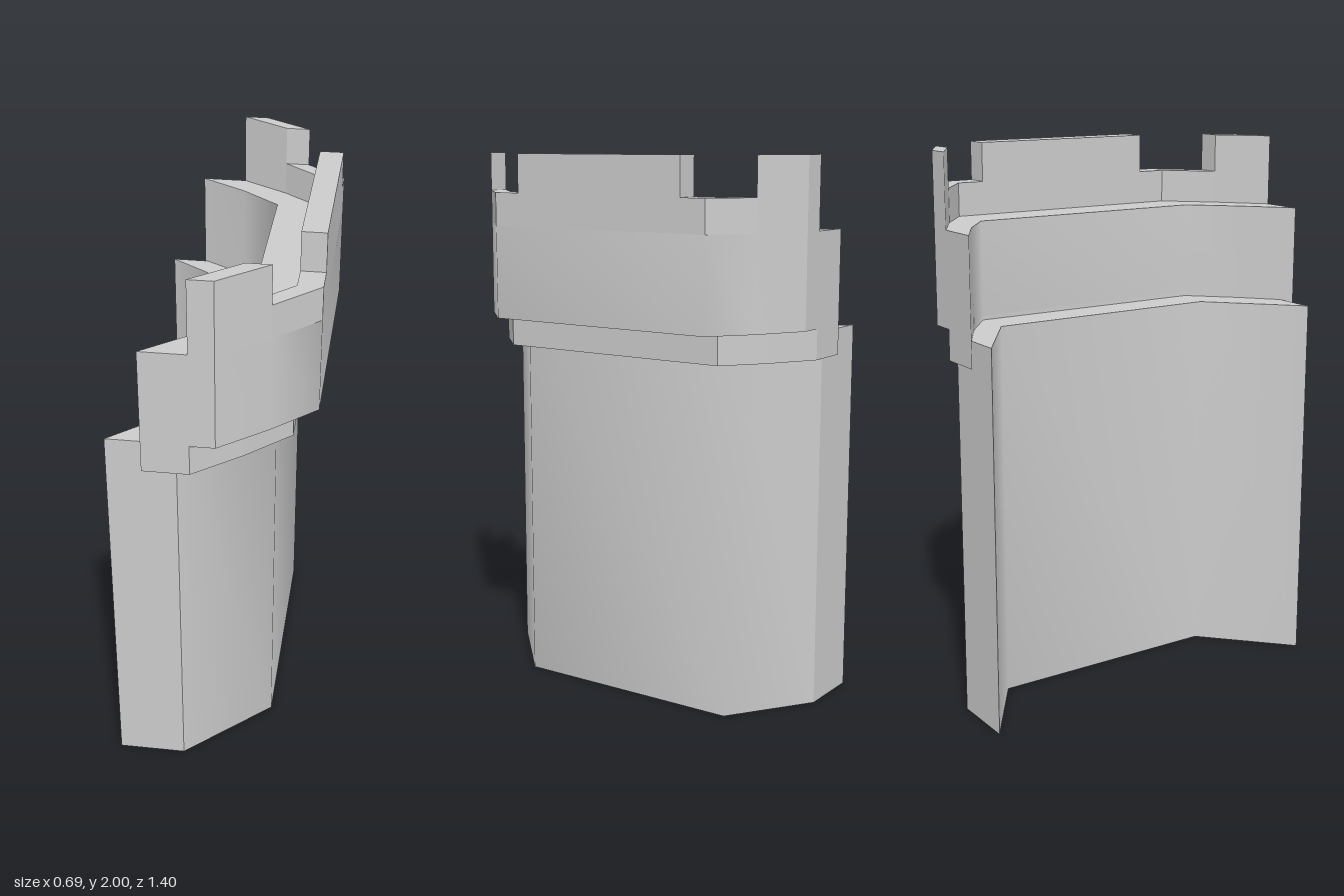
import * as THREE from 'three';
import { mergeGeometries } from 'three/addons/utils/BufferGeometryUtils.js';

const material = new THREE.MeshStandardMaterial({ color: 0xcccccc });

// Plan outlines as [x, z], running from the front end to the back end
const wallInner = [[-0.345, 0.668], [-0.045, 0.385], [-0.045, -0.49], [-0.345, -0.697]];
const wallOuter = [[-0.105, 0.668], [0.195, 0.385], [0.195, -0.49], [-0.105, -0.697]];
const parapetOuter = [[0.03, 0.7], [0.193, 0.562], [0.342, 0.415], [0.342, -0.486], [0.2, -0.6], [0.03, -0.702]];
const shifted = (line, dx) => line.map(([x, z]) => [x + dx, z]);
const parapetInner = shifted(parapetOuter, -0.086);
const walkwayInner = shifted(parapetOuter, -0.248);

// Strip of quads between two lines of points, smooth or faceted along its length
function sheet(a, b, smooth = false) {
  const index = [];
  for (let i = 0; i < a.length - 1; i++) {
    const j = i + 1, n = a.length;
    index.push(i, j, n + i, j, n + j, n + i);
  }
  const indexed = new THREE.BufferGeometry().setFromPoints([...a, ...b]);
  indexed.setIndex(index);
  if (smooth) indexed.computeVertexNormals();
  const geometry = indexed.toNonIndexed();
  if (!smooth) geometry.computeVertexNormals();
  return geometry;
}

// Solid between two plan outlines, from height y0 to height y1
function course(name, inner, outer, y0, y1, { smoothInner = false, smoothOuter = false } = {}) {
  const at = (line, y) => line.map(([x, z]) => new THREE.Vector3(x, y, z));
  const ob = at(outer, y0), ot = at(outer, y1), ib = at(inner, y0), it = at(inner, y1);
  const e = inner.length - 1;
  const geometry = mergeGeometries([
    sheet(ob, ot, smoothOuter),
    sheet(ot, it),
    sheet(it, ib, smoothInner),
    sheet(ib, ob),
    sheet([ib[0], ob[0]], [it[0], ot[0]]),
    sheet([ob[e], ib[e]], [ot[e], it[e]]),
  ]);
  const mesh = new THREE.Mesh(geometry, material);
  mesh.name = name;
  return mesh;
}

export function createModel() {
  const group = new THREE.Group();
  group.name = 'curvedBattlement';
  const smooth = { smoothInner: true, smoothOuter: true };

  // Main wall, corbel band, overhanging walkway and low parapet
  group.add(
    course('wall', wallInner, wallOuter, 0, 1.385, smooth),
    course('corbelBand', walkwayInner, parapetInner, 1.29, 1.4, { smoothInner: true }),
    course('walkway', walkwayInner, parapetOuter, 1.4, 1.74, smooth),
    course('parapet', parapetInner, parapetOuter, 1.74, 1.86),
  );

  // Merlons: one at each end and a long one in the middle
  const merlons = {
    frontMerlon: parapetOuter.slice(0, 2),
    middleMerlon: [[0.342, 0.31], [0.342, -0.387]],
    backMerlon: parapetOuter.slice(4),
  };
  for (const [name, line] of Object.entries(merlons)) {
    group.add(course(name, shifted(line, -0.086), line, 1.86, 2));
  }
  return group;
}
